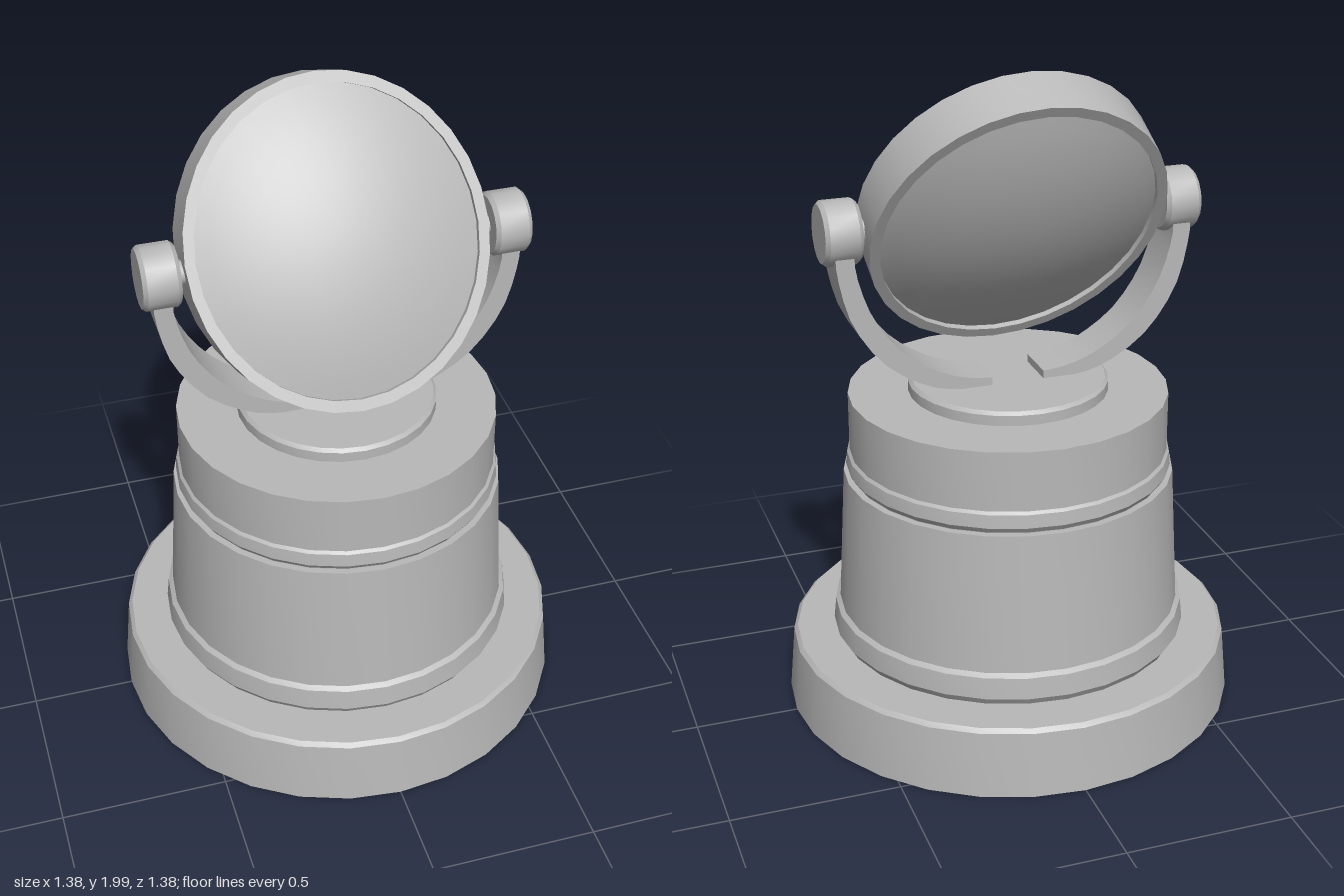
import * as THREE from 'three';
import { toCreasedNormals } from 'three/addons/utils/BufferGeometryUtils.js';

const metal = new THREE.MeshStandardMaterial({ color: 0xb8b8b8 });
metal.name = 'grey metal';

const v2 = (pts) => pts.map(([x, y]) => new THREE.Vector2(x, y));

function part(name, geometry, crease = 0.6) {
  const mesh = new THREE.Mesh(toCreasedNormals(geometry, crease), metal);
  mesh.name = name;
  return mesh;
}

// Solid or ring of revolution, profile listed from bottom to top
const turned = (name, pts, sides = 28) => part(name, new THREE.LatheGeometry(v2(pts), sides));

export function createModel() {
  const model = new THREE.Group();
  model.name = 'searchlight';

  // Stepped pedestal
  model.add(
    turned('base', [[0, 0], [0.69, 0], [0.672, 0.2], [0.66, 0.212], [0, 0.212]]),
    turned('lowerBand', [[0.5, 0.2], [0.53, 0.21], [0.545, 0.235], [0.538, 0.3], [0.52, 0.313], [0.48, 0.313]]),
    turned('body', [[0, 0.2], [0.53, 0.2], [0.5, 0.74], [0, 0.745]]),
    turned('upperBand', [[0.44, 0.74], [0.48, 0.742], [0.492, 0.76], [0.488, 0.8], [0.475, 0.813], [0.44, 0.813]]),
    turned('cap', [[0, 0.74], [0.48, 0.74], [0.48, 0.99], [0, 0.992]]),
    turned('turntable', [[0, 0.985], [0.3, 0.985], [0.3, 1.022], [0.29, 1.032], [0, 1.032]]),
  );

  const head = new THREE.Group();
  head.name = 'lampHead';
  head.position.x = -0.006;
  model.add(head);

  // Curved yoke arms with pivot knobs, mirrored left and right
  const outer = v2([[0.537, 1.5], [0.535, 1.42], [0.495, 1.27], [0.4, 1.135], [0.27, 1.053], [0.16, 1.03], [0.08, 1.028]]);
  const inner = v2([[0.08, 1.056], [0.16, 1.066], [0.25, 1.1], [0.355, 1.175], [0.437, 1.29], [0.48, 1.42], [0.483, 1.5]]);
  for (const side of [1, -1]) {
    const flip = (pts) => pts.map((p) => new THREE.Vector2(side * p.x, p.y));
    const shape = new THREE.Shape([
      ...new THREE.SplineCurve(flip(outer)).getPoints(16),
      ...new THREE.SplineCurve(flip(inner)).getPoints(16),
    ]);
    const arm = new THREE.ExtrudeGeometry(shape, { depth: 0.142, bevelEnabled: false });
    arm.translate(0, 0, -0.073);

    const knob = new THREE.LatheGeometry(
      v2([[0, -0.055], [0.085, -0.055], [0.095, -0.043], [0.095, 0.043], [0.085, 0.055], [0, 0.055]]), 16);
    knob.rotateZ(Math.PI / 2).translate(side * 0.512, 1.527, 0);

    const axle = new THREE.CylinderGeometry(0.035, 0.035, 0.08, 12);
    axle.rotateZ(Math.PI / 2).translate(side * 0.445, 1.527, 0);

    const label = side > 0 ? 'left' : 'right';
    head.add(part(label + 'YokeArm', arm), part(label + 'Knob', knob), part(label + 'Axle', axle));
  }

  // Tilted, slightly sheared drum: unit lathe mapped onto across, forward and down axes
  const tilt = new THREE.Matrix4().makeBasis(
    new THREE.Vector3(0.442, 0, 0),
    new THREE.Vector3(0, 0.068, 0.143),
    new THREE.Vector3(0, -0.4125, 0.243),
  ).setPosition(0, 1.542, -0.0185);

  const rim = new THREE.LatheGeometry(
    v2([[0.93, -0.5], [1, -0.5], [1, 0.5], [0.93, 0.5], [0.93, -0.5]]), 32).applyMatrix4(tilt);

  // Lens bulging out of both sides of the rim
  const dome = [];
  for (let i = 0; i <= 8; i++) {
    const t = i / 8;
    dome.push([0.94 * t, 0.38 + 0.56 * (1 - t * t)]);
  }
  const lensProfile = [...dome.map(([r, h]) => [r, -h]), ...dome.slice().reverse()];
  const lens = new THREE.LatheGeometry(v2(lensProfile), 32).applyMatrix4(tilt);

  head.add(part('lampRim', rim), part('lens', lens));
  return model;
}
